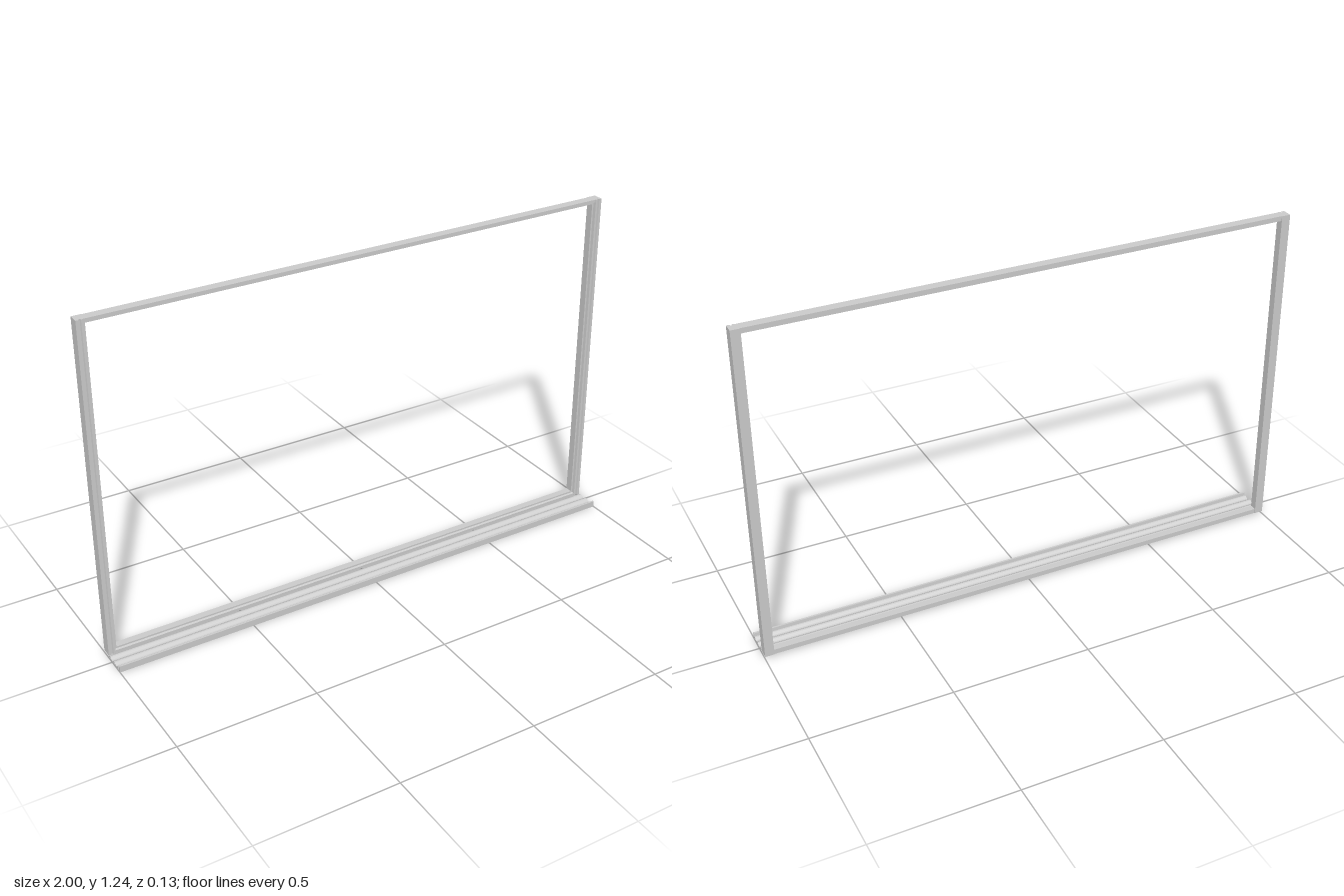
import * as THREE from 'three';

const mat = new THREE.MeshStandardMaterial({ color: 0xcccccc, flatShading: true });

const shapeOf = (pts) => new THREE.Shape(pts.map(([a, b]) => new THREE.Vector2(a, b)));
const extrude = (pts, depth) =>
  new THREE.ExtrudeGeometry(shapeOf(pts), { depth, bevelEnabled: false });

function add(group, geometry, name) {
  const mesh = new THREE.Mesh(geometry, mat);
  mesh.name = name;
  group.add(mesh);
}

// Bar along x from a [z, y] cross-section
function barX(profile, length) {
  const g = extrude(profile.map(([z, y]) => [-z, y]), length);
  return g.rotateY(Math.PI / 2).translate(-length / 2, 0, 0);
}

// Bar along y from an [x, z] cross-section
function barY(profile, y0, y1) {
  const g = extrude(profile.map(([x, z]) => [x, -z]), y1 - y0);
  return g.rotateX(-Math.PI / 2).translate(0, y0, 0);
}

export function createModel() {
  const model = new THREE.Group();
  model.name = 'boardFrame';
  const back = -0.065, front = -0.027, bottom = 0.01, top = 1.24;

  // Side posts: outer band, shallow groove, ridge and stepped inner edge
  const post = [
    [1, back], [1, front], [0.99, front], [0.988, front - 0.006],
    [0.984, front - 0.006], [0.982, front], [0.975, front],
    [0.973, front - 0.01], [0.967, front - 0.01], [0.967, back],
  ];
  for (const [side, name] of [[1, 'leftPost'], [-1, 'rightPost']]) {
    add(model, barY(post.map(([x, z]) => [side * x, z]), bottom, top), name);
  }

  // Top and bottom rails share a section measured from the outer edge inwards
  const rail = [
    [back + 0.002, 0], [front - 0.002, 0], [front - 0.002, 0.01],
    [front - 0.01, 0.012], [front - 0.01, 0.018], [back + 0.002, 0.018],
  ];
  add(model, barX(rail.map(([z, h]) => [z, top - h]), 1.95), 'topRail');
  add(model, barX(rail.map(([z, h]) => [z, bottom + h]), 1.95), 'bottomRail');

  // Tray: rippled thin floor with an upright front lip
  const upper = [], lower = [], steps = 20, z0 = -0.03, z1 = 0.057;
  for (let i = 0; i <= steps; i++) {
    const z = z0 + (z1 - z0) * i / steps;
    const y = 0.006 + 0.004 * Math.cos((z - 0.018) / 0.034 * Math.PI * 2);
    upper.push([z, y + 0.004]);
    lower.unshift([z, Math.max(y - 0.001, 0.001)]);
  }
  const lip = [[z1 + 0.001, 0.023], [0.065, 0.023], [0.065, 0], [z1 + 0.001, 0]];
  add(model, barX([...upper, ...lip, ...lower], 2), 'tray');

  return model;
}
